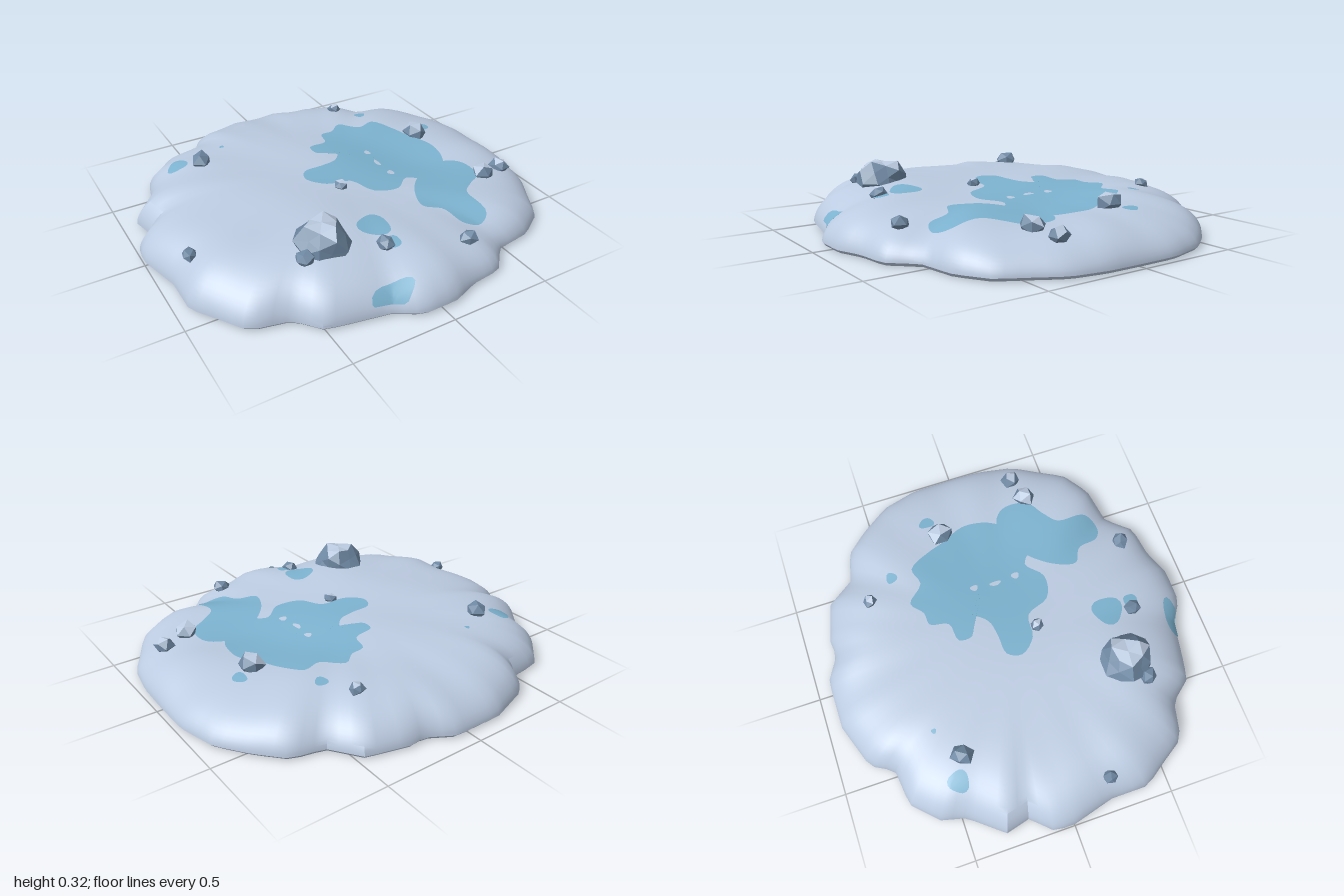
import * as THREE from 'three';
import { toCreasedNormals, mergeVertices } from 'three/addons/utils/BufferGeometryUtils.js';

const mat = (name, color) => Object.assign(new THREE.MeshStandardMaterial({ color }), { name });

// Ragged rim of the mound, as x, z pairs going round from +x towards +z
const RIM = [
  .98, 0, .975, .18, .945, .35, .87, .48, .8, .61, .66, .7, .47, .73, .36, .85, .2, .87, .07, .92,
  -.1, .92, -.21, .85, -.42, .81, -.51, .79, -.6, .68, -.78, .64, -.87, .5, -.94, .4, -.94, .21,
  -.995, 0, -.995, -.1, -.9, -.2, -.93, -.32, -.8, -.48, -.77, -.6, -.65, -.72, -.47, -.74,
  -.41, -.85, -.18, -.93, .07, -.93, .19, -.86, .27, -.87, .47, -.82, .57, -.68, .72, -.65,
  .83, -.53, .93, -.39, .98, -.2,
];
const rim = [];
for (let i = 0; i < RIM.length; i += 2) rim.push([RIM[i], RIM[i + 1]]);

// Distance from the centre to the rim in direction a
function rimRadius(a) {
  const c = Math.cos(a), s = Math.sin(a);
  for (let i = 0; i < rim.length; i++) {
    const [px, pz] = rim[i], [qx, qz] = rim[(i + 1) % rim.length];
    const dx = qx - px, dz = qz - pz;
    const den = c * dz - s * dx;
    const r = (px * dz - pz * dx) / den, t = (px * s - pz * c) / den;
    if (r > 0 && t >= -1e-6 && t <= 1 + 1e-6) return r;
  }
  return 0.95;
}

const bump = (x, z, cx, cz, w) => Math.exp(-((x - cx) ** 2 + (z - cz) ** 2) / (w * w));

// Height of the snow: gently sloping top, hollow for the pond, rounded edge
function height(x, z) {
  const a = Math.atan2(z, x);
  const e = Math.min(1, Math.hypot(x, z) / rimRadius(a));
  let top = 0.205 - 0.025 * x;
  top += 0.008 * Math.sin(5 * x + 2) * Math.cos(4 * z) + 0.004 * Math.sin(11 * x - 7 * z);
  top -= 0.03 * bump(x, z, 0.38, 0.15, 0.38) + 0.03 * bump(x, z, 0.4, 0.65, 0.22);
  top += 0.02 * bump(x, z, -0.35, 0.5, 0.22);
  top += e ** 4 * (0.012 * Math.sin(9 * a + 1) + 0.008 * Math.sin(17 * a));
  return 0.015 + (top - 0.015) * Math.pow(1 - e ** 6, 0.6);
}

// Skin over concentric rings of points; the first ring is a single centre
function ringSurface(rings) {
  const n = rings[1].length, pos = [...rings[0][0]], idx = [];
  rings.slice(1).forEach(r => r.forEach(p => pos.push(...p)));
  for (let j = 0; j < n; j++) {
    const k = (j + 1) % n;
    idx.push(0, 1 + k, 1 + j);
    for (let i = 1; i < rings.length - 1; i++) {
      const a = 1 + (i - 1) * n, b = a + n;
      idx.push(a + j, a + k, b + j, a + k, b + k, b + j);
    }
  }
  const g = new THREE.BufferGeometry();
  g.setAttribute('position', new THREE.Float32BufferAttribute(pos, 3));
  g.setIndex(idx);
  return g;
}

// Snow mound with a slightly undercut flat base
function moundGeometry() {
  const rings = [[[0, height(0, 0), 0]]], n = 114, m = 28;
  const ring = (e, y) => Array.from({ length: n }, (_, j) => {
    const a = j / n * Math.PI * 2, r = rimRadius(a) * e;
    const x = Math.cos(a) * r, z = Math.sin(a) * r;
    return [x, y ?? height(x, z), z];
  });
  for (let i = 1; i <= m; i++) rings.push(ring(Math.sin(i / m * Math.PI / 2)));
  rings.push(ring(0.985, 0), [...Array(n)].map(() => [0, 0, 0]));
  return toCreasedNormals(ringSurface(rings), 0.6);
}

// Thin sheet draped on the snow, star-shaped around (cx, cz)
function sheetGeometry(cx, cz, outline, steps, lift) {
  const on = (x, z) => {
    const e = Math.hypot(x, z) / rimRadius(Math.atan2(z, x));
    if (e > 0.985) { x *= 0.985 / e; z *= 0.985 / e; }
    const d = 0.004;
    const nrm = new THREE.Vector3(height(x - d, z) - height(x + d, z), 2 * d,
      height(x, z - d) - height(x, z + d)).normalize();
    return [x + nrm.x * lift, height(x, z) + nrm.y * lift, z + nrm.z * lift];
  };
  const rings = [[on(cx, cz)]];
  for (let i = 1; i <= steps; i++) {
    rings.push(outline.map(([x, z]) => on(cx + (x - cx) * i / steps, cz + (z - cz) * i / steps)));
  }
  const g = ringSurface(rings);
  g.computeVertexNormals();
  return g;
}

function smoothOutline(points, n) {
  const curve = new THREE.CatmullRomCurve3(points.map(([x, z]) => new THREE.Vector3(x, 0, z)), true);
  return curve.getPoints(n).slice(0, n).map(p => [p.x, p.z]);
}

const blob = (cx, cz, rx, rz) => Array.from({ length: 20 }, (_, j) => {
  const a = j / 20 * Math.PI * 2, k = 1 + 0.1 * Math.sin(3 * a + cx * 20);
  return [cx + Math.cos(a) * rx * k, cz + Math.sin(a) * rz * k];
});

// Faceted boulder; faces that look up enough get the snow material
function rockGeometry(r, detail, seed, snowLimit) {
  const src = new THREE.IcosahedronGeometry(r, detail);
  src.deleteAttribute('normal');
  src.deleteAttribute('uv');
  const w = mergeVertices(src, 1e-4), p = w.attributes.position;
  for (let i = 0; i < p.count; i++) {
    const k = 1 + 0.13 * Math.sin(i * 2.4 + seed * 1.7);
    p.setXYZ(i, p.getX(i) * k, p.getY(i) * k * 0.85, p.getZ(i) * k);
  }
  w.rotateY(seed);
  const g = w.toNonIndexed();
  g.computeVertexNormals();
  for (let i = 0; i < g.attributes.position.count; i += 3) {
    g.addGroup(i, 3, g.attributes.normal.getY(i) > snowLimit ? 1 : 0);
  }
  return g;
}

export function createModel() {
  const model = new THREE.Group();
  model.name = 'snowMound';
  const snow = mat('snow', 0xbccbe1), ice = mat('ice', 0x7cb2cf), stone = mat('stone', 0x6f89a3);
  ice.side = THREE.DoubleSide;
  const add = (name, geometry, material) => {
    const mesh = new THREE.Mesh(geometry, material);
    mesh.name = name;
    model.add(mesh);
    return mesh;
  };

  add('mound', moundGeometry(), snow);

  // Frozen pond: main sheet and front lobe
  const pond = [[.27, -.42], [.36, -.34], [.45, -.36], [.52, -.25], [.55, -.17], [.61, -.04], [.6, .08],
    [.57, .15], [.55, .26], [.42, .3], [.3, .2], [.2, .27], [.08, .24], [.02, .12], [-.1, .1], [-.17, .02],
    [-.14, -.05], [-.04, -.06], [.05, -.08], [.1, -.15], [0, -.18], [0, -.25], [.1, -.27], [.13, -.36], [.2, -.37]];
  const lobe = [[.45, .16], [.58, .14], [.65, .2], [.64, .33], [.55, .39], [.48, .45], [.48, .6], [.4, .64],
    [.33, .61], [.3, .5], [.22, .45], [.25, .34], [.33, .24]];
  add('pondIce', sheetGeometry(.3, -.02, smoothOutline(pond, 100), 16, 0.005), ice);
  add('pondLobeIce', sheetGeometry(.43, .37, smoothOutline(lobe, 60), 10, 0.005), ice);

  // Small ice patches: x, z, half width, half depth
  [[-.65, -.46, .05, .05], [-.39, -.5, .012, .012], [.44, -.47, .03, .028], [-.09, .5, .075, .075],
    [-.08, .63, .045, .035], [.69, -.21, .03, .04], [-.2, .83, .1, .05]].forEach(([x, z, rx, rz]) =>
    add('icePatch', sheetGeometry(x, z, blob(x, z, rx, rz), 6, 0.006), ice));

  // Snow flecks on the pond
  [[.25, -.09, .016, .02], [.24, .02, .012, .03], [.25, .13, .018, .02]].forEach(([x, z, rx, rz]) =>
    add('snowFleck', sheetGeometry(x, z, blob(x, z, rx, rz), 2, 0.009), snow));

  // Snow-capped boulder
  add('boulder', rockGeometry(.125, 1, 2, .72), [stone, snow]).position.set(-.35, .215, .49);

  // Scattered stones: x, z, radius, how upright a face must be to hold snow
  [[-.54, -.41, .055, 2], [.355, -.61, .036, .85], [.605, -.16, .065, .6], [.68, .33, .058, .6],
    [.81, .3, .05, .7], [-.855, .22, .038, 2], [-.47, .56, .045, 2], [-.11, .625, .042, 2],
    [.275, .72, .045, 2], [-.045, .14, .035, .85]].forEach(([x, z, r, limit], i) =>
    add('stone', rockGeometry(r, 0, i + 1, limit), [stone, snow])
      .position.set(x, height(x, z) + r * 0.2, z));

  return model;
}
